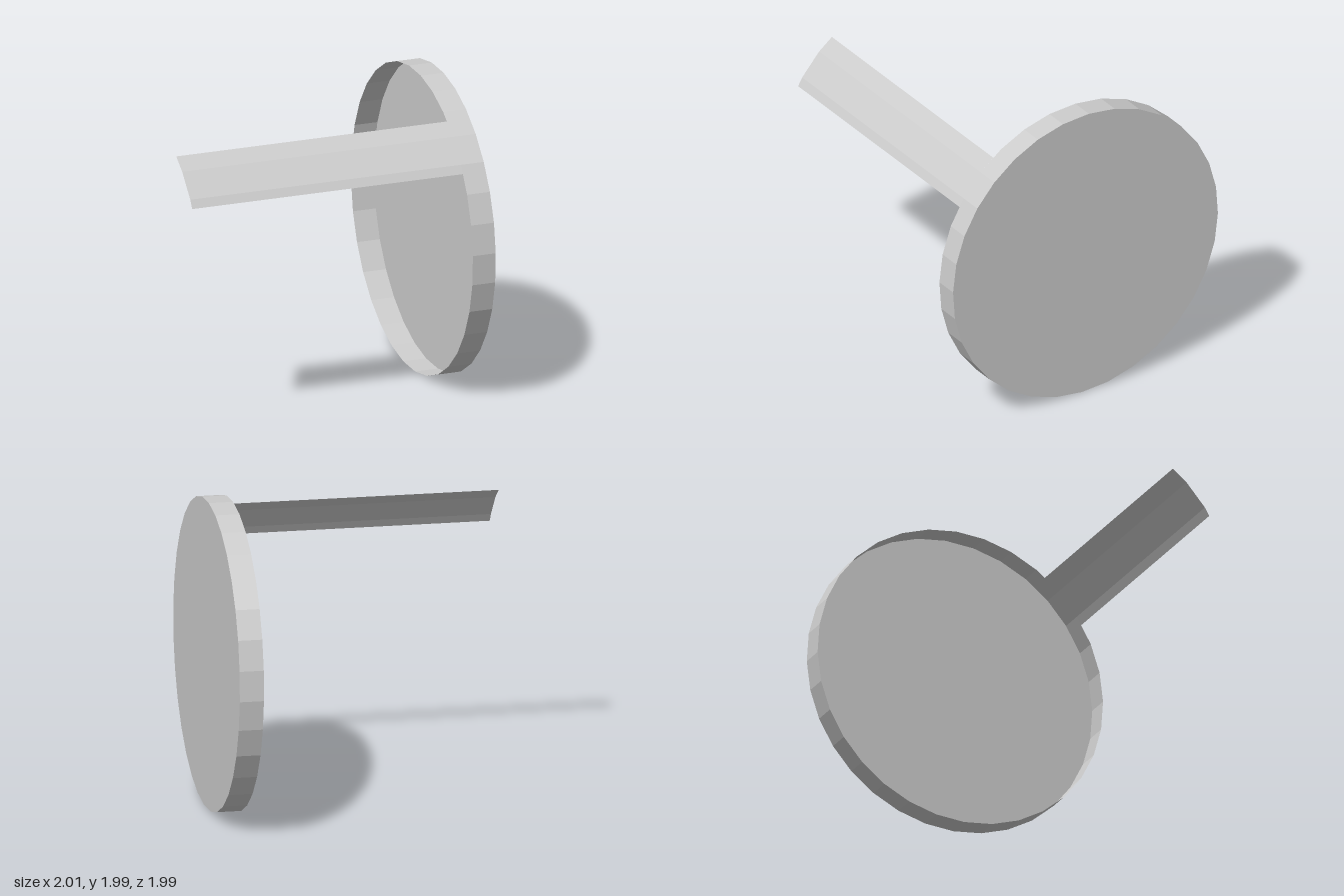
import * as THREE from 'three';

const R = 0.995, SIDES = 32, DEPTH = 0.155;
const STEP = 360 / SIDES, OFFSET = -1.8;
const rad = THREE.MathUtils.degToRad;

const material = new THREE.MeshStandardMaterial({
  color: 0xcccccc, flatShading: true, side: THREE.DoubleSide,
});

// Point [y, z] on the circle, angle measured from the top towards the front
const onCircle = (deg) => [R * Math.cos(rad(deg)), R * Math.sin(rad(deg))];

// Sweep an open or closed cross-section of [y, z] points along x
function sweep(section, x0, x1) {
  const pos = [];
  for (let i = 0; i < section.length - 1; i++) {
    const [ya, za] = section[i], [yb, zb] = section[i + 1];
    pos.push(x0, ya, za, x0, yb, zb, x1, yb, zb);
    pos.push(x0, ya, za, x1, yb, zb, x1, ya, za);
  }
  const g = new THREE.BufferGeometry();
  g.setAttribute('position', new THREE.Float32BufferAttribute(pos, 3));
  g.computeVertexNormals();
  return g;
}

export function createModel() {
  const group = new THREE.Group();
  const add = (geometry, name) => {
    const mesh = new THREE.Mesh(geometry, material);
    mesh.name = name;
    group.add(mesh);
  };

  // Round end plate, facing +x
  const plate = new THREE.CircleGeometry(R, SIDES, rad(90 + OFFSET));
  plate.rotateY(Math.PI / 2);
  add(plate, 'endPlate');

  // Short rim, open on the -x side
  const ring = [];
  for (let i = 0; i <= SIDES; i++) ring.push(onCircle(OFFSET + i * STEP));
  add(sweep(ring, -DEPTH, 0), 'rim');

  // Long thin strip continuing the rim's facets
  const strip = [
    [0.8, 0.585],
    onCircle(OFFSET + 4 * STEP),
    onCircle(OFFSET + 5 * STEP),
    [0.526, 0.84],
  ];
  add(sweep(strip, -1.992, -DEPTH), 'strip');

  // The whole piece leans very slightly
  group.rotation.z = 0.0082;
  group.position.set(0.992, 0.995, 0);
  const model = new THREE.Group();
  model.name = 'lidWithStrip';
  model.add(group);
  return model;
}
